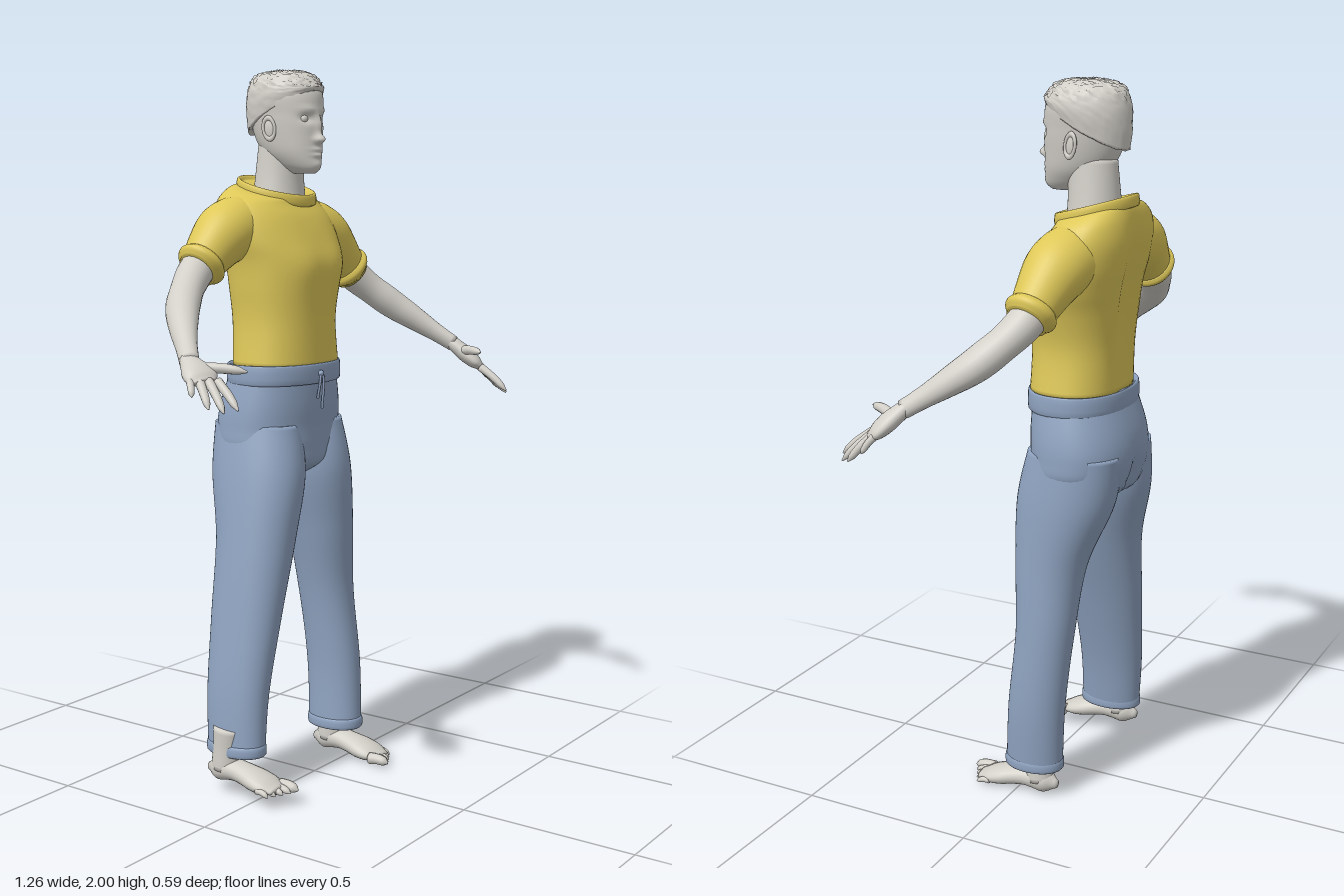
import * as THREE from 'three';

const V = (x, y, z) => new THREE.Vector3(x, y, z);
const mat = (name, color) => {
  const m = new THREE.MeshStandardMaterial({ color });
  m.name = name;
  return m;
};

// Smooth interpolation between rows of numbers
function smoothRows(rows, sub) {
  const out = [];
  const at = i => rows[Math.max(0, Math.min(rows.length - 1, i))];
  for (let i = 0; i < rows.length - 1; i++) {
    for (let k = 0; k < sub; k++) {
      const t = k / sub, [a, b, c, d] = [at(i - 1), at(i), at(i + 1), at(i + 2)];
      out.push(b.map((_, j) => b[j] + 0.5 * t * (c[j] - a[j]
        + t * (2 * a[j] - 5 * b[j] + 4 * c[j] - d[j] + t * (3 * (b[j] - c[j]) + d[j] - a[j])))));
    }
  }
  out.push(at(rows.length));
  return out;
}

// Skin closed rings into a capped smooth surface
function skin(rings) {
  const n = rings[0].length, pos = [], idx = [];
  rings.forEach(r => r.forEach(p => pos.push(p.x, p.y, p.z)));
  for (let i = 0; i < rings.length - 1; i++) for (let j = 0; j < n; j++) {
    const a = i * n + j, b = i * n + (j + 1) % n;
    idx.push(a, b, a + n, b, b + n, a + n);
  }
  [0, rings.length - 1].forEach((r, end) => {
    const c = rings[r].reduce((s, p) => s.add(p), V(0, 0, 0)).divideScalar(n);
    const ci = pos.length / 3;
    pos.push(c.x, c.y, c.z);
    for (let j = 0; j < n; j++) {
      const a = r * n + j, b = r * n + (j + 1) % n;
      end ? idx.push(a, b, ci) : idx.push(b, a, ci);
    }
  });
  const g = new THREE.BufferGeometry();
  g.setAttribute('position', new THREE.Float32BufferAttribute(pos, 3));
  g.setIndex(idx);
  g.computeVertexNormals();
  return g;
}

// Upright loft, rows from low to high: [y, xMin, xMax, zMin, zMax, rise at the back]
function loft(rows, { e = 1, n = 48, sub = 5, warp } = {}) {
  const pw = v => Math.sign(v) * Math.abs(v) ** e;
  return skin(smoothRows(rows.map(r => [...r, 0].slice(0, 6)), sub).map(([y, x0, x1, z0, z1, tilt]) =>
    Array.from({ length: n }, (_, j) => {
      const a = j / n * Math.PI * 2, s = pw(Math.sin(a)), c = pw(Math.cos(a));
      const p = V((x0 + x1) / 2 + s * (x1 - x0) / 2, y - tilt * c, (z0 + z1) / 2 + c * (z1 - z0) / 2);
      if (warp) warp(p, c);
      return p;
    })));
}

// Raised fabric band standing k outside a loft row, with a sunken top
function band([y, x0, x1, z0, z1, tilt = 0], h, k, e) {
  const row = (dy, d) => [y + dy, x0 - d, x1 + d, z0 - d, z1 + d, tilt];
  return loft([row(-.003, -.006), row(0, k), row(h, k), row(h + .004, k - .008), row(h - .01, k - .016)], { e, sub: 3 });
}

// Limb along a smooth path; radii are spread evenly, flat(t) thins it across the side direction
function limb(points, radii, side, { n = 24, sub = 5, flat = () => 1 } = {}) {
  const path = new THREE.CatmullRomCurve3(points), R = smoothRows(radii.map(r => [r]), sub);
  return skin(R.map(([r], i) => {
    const t = i / (R.length - 1), p = path.getPointAt(t), d = path.getTangentAt(t);
    const b = side.clone().addScaledVector(d, -side.dot(d)).normalize(), w = d.clone().cross(b);
    return Array.from({ length: n }, (_, j) => {
      const a = j / n * Math.PI * 2;
      return p.clone().addScaledVector(b, r * Math.cos(a)).addScaledVector(w, r * flat(t) * Math.sin(a));
    });
  }));
}

// Rounded finger or toe between two points, slightly arched
function digit(a, b, r, side) {
  const mid = a.clone().lerp(b, .5).add(V(0, .004, 0));
  return limb([a, mid, b], [1.1, 1.05, 1, .97, .9, .75, .2].map(k => k * r), side, { n: 12, sub: 2 });
}

const gauss = (dx, sx, dy, sy) => Math.exp(-((dx / sx) ** 2) - (dy / sy) ** 2);

export function createModel() {
  const root = new THREE.Group();
  const skinMat = mat('skin', 0xd2cfc8), yellow = mat('shirt yellow', 0xdec859), denim = mat('trouser blue', 0x8fa3c0);
  const add = (name, geo, m, parent = root) => {
    const mesh = new THREE.Mesh(geo, m);
    mesh.name = name;
    parent.add(mesh);
    return mesh;
  };
  const group = name => { const g = new THREE.Group(); g.name = name; root.add(g); return g; };

  // Shirt body with a spine hollow and soft chest
  add('shirtBody', loft([
    [1.178, -.138, .205, -.247, 0], [1.3, -.127, .192, -.253, -.002], [1.4, -.133, .212, -.265, 0],
    [1.47, -.14, .238, -.276, -.003], [1.53, -.155, .25, -.288, -.025], [1.59, -.158, .245, -.294, -.055],
    [1.635, -.14, .222, -.29, -.082, .008], [1.66, -.09, .19, -.28, -.088, .02], [1.665, -.04, .168, -.268, -.092, .026],
  ], { e: .85, n: 56, warp: (p, c) => {
    if (c < 0) p.z += .022 * gauss(p.x - .05, .045, p.y - 1.45, .17) * -c;
    else p.z += .007 * c * gauss(Math.abs(p.x - .05) - .08, .06, p.y - 1.45, .06);
  } }), yellow);
  add('collar', band([1.65, -.045, .171, -.272, -.082, .028], .026, .012), yellow);

  // Arms: sleeve, cuff, bare arm, palm and fingers
  function arm(name, sleevePts, armPts, base, tips, thumb) {
    const g = group(name), front = V(0, 0, 1), toV = p => V(...p);
    const sleeve = sleevePts.map(toV), path = new THREE.CatmullRomCurve3(sleeve);
    add('sleeve', limb(sleeve, [.08, .086, .087, .084, .074, .064, .055], front, { n: 32 }), yellow, g);
    add('sleeveCuff', limb([path.getPointAt(.86), path.getPointAt(.99)], [.062, .07, .067, .054], front, { n: 32, sub: 3 }), yellow, g);
    const joints = armPts.map(toV), wrist = joints[joints.length - 1], [b0, b1] = base.map(toV);
    add('bareArm', limb(joints, [.05, .05, .049, .046, .047, .043, .036, .029, .026], front, { flat: t => 1 - .2 * t }), skinMat, g);
    const across = b1.clone().sub(b0), mid = b0.clone().lerp(b1, .5);
    add('palm', limb([wrist.clone().lerp(mid, -.2), wrist.clone().lerp(mid, 1.1)],
      [.02, .027, .033, .04, .044, .043, .03], across, { flat: t => .85 - .5 * t }), skinMat, g);
    const tipPath = new THREE.CatmullRomCurve3(tips.map(toV));
    for (let i = 0; i < 4; i++) {
      add('finger', digit(b0.clone().lerp(b1, i / 3), tipPath.getPoint(i / 3), i ? .0115 : .0095, across), skinMat, g);
    }
    add('thumb', digit(wrist.clone().lerp(b1, .3), toV(thumb), .0135, V(0, 1, 0)), skinMat, g);
  }
  arm('rightArm', [[-.03, 1.575, -.19], [-.15, 1.55, -.19], [-.272, 1.453, -.194]],
    [[-.2, 1.51, -.19], [-.28, 1.45, -.192], [-.39, 1.373, -.143], [-.46, 1.32, -.085], [-.548, 1.242, .008]],
    [[-.6, 1.205, .052], [-.55, 1.2, .1]],
    [[-.628, 1.168, .082], [-.613, 1.132, .148], [-.576, 1.137, .184]], [-.495, 1.222, .15]);
  arm('leftArm', [[.11, 1.565, -.175], [.23, 1.54, -.155], [.37, 1.42, -.13]],
    [[.3, 1.49, -.145], [.375, 1.42, -.13], [.462, 1.333, -.055], [.505, 1.28, .015], [.552, 1.207, .122]],
    [[.61, 1.145, .172], [.565, 1.14, .21]],
    [[.626, 1.1, .203], [.613, 1.064, .267], [.572, 1.075, .294]], [.5, 1.192, .245]);

  // Trousers: hips, waistband and drawstring
  add('hips', loft([
    [.86, -.02, .06, -.19, -.08], [.9, -.1, .14, -.262, -.015], [.95, -.165, .225, -.284, -.008],
    [1.01, -.168, .236, -.293, -.008], [1.08, -.161, .228, -.282, -.005], [1.185, -.14, .2, -.245, -.008],
  ], { e: .88, n: 56, warp: (p, c) => { if (c < 0) p.z += .022 * gauss(p.x - .03, .025, p.y - .93, .07); } }), denim);
  add('waistband', band([1.136, -.148, .212, -.258, 0], .046, .005, .88), denim);
  for (const [dx, len] of [[-.005, .06], [.008, .09]]) {
    add('drawstring', new THREE.TubeGeometry(new THREE.CatmullRomCurve3(
      [V(.02, 1.168, .006), V(.02 + dx, 1.15, .011), V(.02 + dx * 1.6, 1.15 - len, .003)]), 10, .004, 6), denim);
  }
  add('drawstringKnot', new THREE.SphereGeometry(.009, 12, 8), denim).position.set(.02, 1.16, .008);

  // Trouser legs with stitched hems
  function leg(name, rows) {
    add(name, loft(rows, { e: .95, sub: 8 }), denim);
    add(name + 'Hem', band(rows[0], .024, .003, .95), denim);
  }
  leg('rightTrouserLeg', [
    [.115, -.298, -.182, -.185, -.007], [.28, -.287, -.153, -.2, -.01], [.49, -.256, -.096, -.215, -.002],
    [.7, -.222, -.03, -.231, .006], [.88, -.191, .02, -.274, .01], [1.02, -.16, .03, -.28, -.02]]);
  leg('leftTrouserLeg', [
    [.088, .117, .238, -.134, .033], [.28, .12, .252, -.145, .02], [.5, .1, .25, -.166, 0],
    [.7, .06, .243, -.192, .01], [.88, .018, .24, -.262, .014], [1.02, .03, .23, -.28, -.018]]);

  // Bare feet, big toe on the inner side
  for (const [name, s, x, y, z] of [['leftFoot', 1, .176, 0, 0], ['rightFoot', -1, -.272, .03, -.045]]) {
    const g = group(name), side = V(1, 0, 0), at = (dx, dy, dz) => V(x + dx, y + dy, z + dz);
    add('ankle', limb([at(0, .04, -.065), at(0, .16, -.055)], [.037, .035, .037], side, { flat: () => 1.17 }), skinMat, g);
    add('foot', limb([at(0, .034, -.122), at(0, .043, -.03), at(0, .025, .07), at(0, .015, .12)],
      [.01, .033, .036, .037, .042, .049, .048, .032], side, { flat: t => 1.15 - .82 * t }), skinMat, g);
    for (let i = 0; i < 5; i++) {
      const dx = s * (i * .0195 - .036), r = i ? .011 - i * .0006 : .0155;
      add('toe', digit(at(dx, .018, .1 - i * .006), at(dx + s * .003, r * .9, .16 - i * .011), r, side), skinMat, g);
    }
  }

  // Neck and head, with the face shaped by soft bumps
  add('neck', loft([[1.6, -.01, .16, -.255, -.1], [1.7, .006, .146, -.245, -.107], [1.8, .015, .135, -.235, -.1]]), skinMat);
  const fx = .07, bumps = [ // [distance from the middle, y, width, height, depth]
    [0, 1.845, .009, .028, .01], [0, 1.806, .011, .013, .021], [.012, 1.803, .007, .007, .008],
    [.032, 1.862, .017, .011, -.012], [.03, 1.886, .022, .008, .005], [0, 1.777, .021, .006, .006],
    [0, 1.762, .018, .006, .007], [0, 1.735, .02, .012, .005],
  ];
  add('head', loft([
    [1.712, .052, .092, -.13, -.052], [1.722, .037, .105, -.15, -.04], [1.74, .022, .12, -.18, -.036],
    [1.77, .007, .137, -.215, -.036], [1.81, -.002, .148, -.243, -.036], [1.87, -.009, .158, -.262, -.037],
    [1.94, -.01, .162, -.267, -.046], [1.985, .035, .12, -.22, -.1],
  ], { n: 72, sub: 10, warp: (p, c) => {
    if (c <= 0) return;
    const off = Math.abs(p.x - fx);
    p.z += Math.min(1, c * 2) * bumps.reduce((sum, [x, y, sx, sy, d]) => sum + d * gauss(off - x, sx, p.y - y, sy), 0);
  } }), skinMat);
  for (const s of [-1, 1]) {
    add('eye', new THREE.SphereGeometry(.0125, 16, 12), skinMat).position.set(fx + s * .032, 1.861, -.064);
    const ear = group('ear');
    ear.position.set(.075 + s * .083, 1.835, -.148);
    ear.rotation.set(-.15, s * -.3, 0);
    add('earShell', new THREE.SphereGeometry(1, 16, 12), skinMat, ear).scale.set(.007, .03, .018);
    const rim = add('earRim', new THREE.TorusGeometry(.017, .0045, 8, 24), skinMat, ear);
    rim.rotation.y = Math.PI / 2;
    rim.scale.y = 1.7;
    rim.position.x = s * .004;
  }

  // Short tousled hair, lower at the nape
  let seed = 7;
  const rnd = () => (seed = (seed * 16807) % 2147483647) / 2147483647 - .5;
  add('hair', loft([
    [1.88, -.012, .163, -.268, -.042, -.06], [1.915, -.016, .168, -.274, -.038, -.035], [1.945, -.013, .165, -.272, -.044, -.012],
    [1.972, -.002, .154, -.258, -.055], [1.988, .02, .133, -.232, -.078], [1.996, .055, .1, -.19, -.12],
  ], { n: 64, warp: p => {
    const k = p.y > 1.95 ? .007 : .002;
    p.add(V(rnd() * k, rnd() * k, rnd() * k));
  } }), skinMat);
  return root;
}
